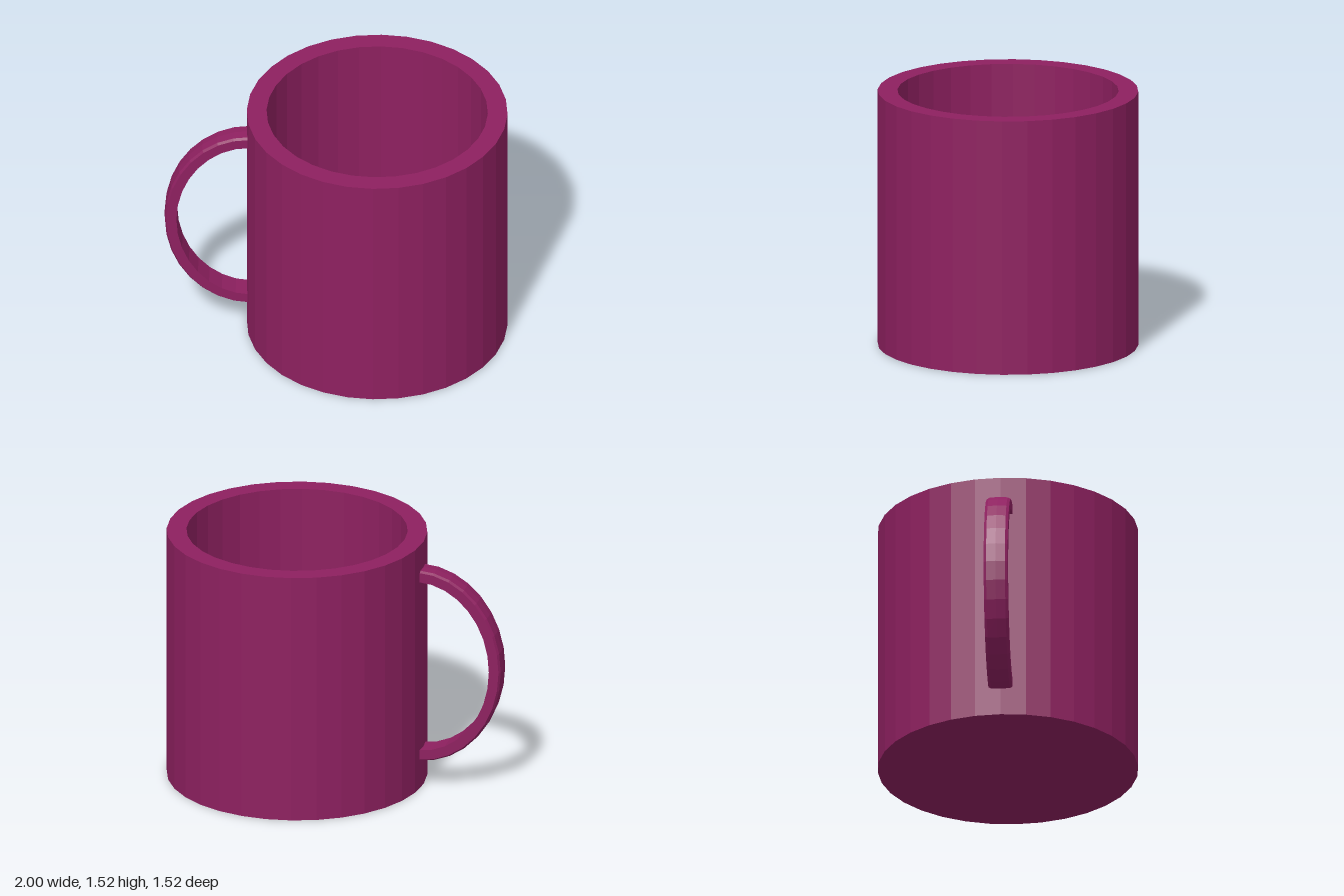
import * as THREE from 'three';

const SEGMENTS = 32;

// Straight-walled hollow body, turned from its half section
function bodyGeometry() {
  const profile = [
    [0, 0], [0.76, 0], [0.76, 1.52], [0.645, 1.52], [0.645, 0.11], [0, 0.11],
  ].map(([r, y]) => new THREE.Vector2(r, y));
  return new THREE.LatheGeometry(profile, SEGMENTS);
}

// Half-ellipse band: flat inside, slightly rounded outside
function handleGeometry() {
  const section = [ // [inset from the outer edge, z]
    [0.072, -0.07], [0.014, -0.07], [0.004, -0.055], [0, 0],
    [0.004, 0.055], [0.014, 0.07], [0.072, 0.07],
  ];
  const steps = SEGMENTS / 2, n = section.length;
  const positions = [], index = [];
  for (let i = 0; i <= steps; i++) {
    const t = Math.PI * (0.5 + i / steps);
    for (const [inset, z] of section) {
      positions.push(
        -0.5 + (0.5 - inset) * Math.cos(t),
        0.763 + (0.6 - inset) * Math.sin(t),
        z,
      );
    }
  }
  for (let i = 0; i < steps; i++) {
    for (let j = 0; j < n; j++) {
      const a = i * n + j, b = i * n + (j + 1) % n;
      index.push(a, a + n, b, b, a + n, b + n);
    }
  }
  const indexed = new THREE.BufferGeometry();
  indexed.setAttribute('position', new THREE.Float32BufferAttribute(positions, 3));
  indexed.setIndex(index);
  const geometry = indexed.toNonIndexed();
  geometry.computeVertexNormals();
  return geometry;
}

export function createModel() {
  const group = new THREE.Group();
  group.name = 'mug';
  const material = new THREE.MeshStandardMaterial({ color: 0x8e2060, flatShading: true });

  const body = new THREE.Mesh(bodyGeometry(), material);
  body.name = 'body';
  body.position.x = 0.24;

  // Both ends are buried in the body wall
  const handle = new THREE.Mesh(handleGeometry(), material);
  handle.name = 'handle';

  group.add(body, handle);
  return group;
}
